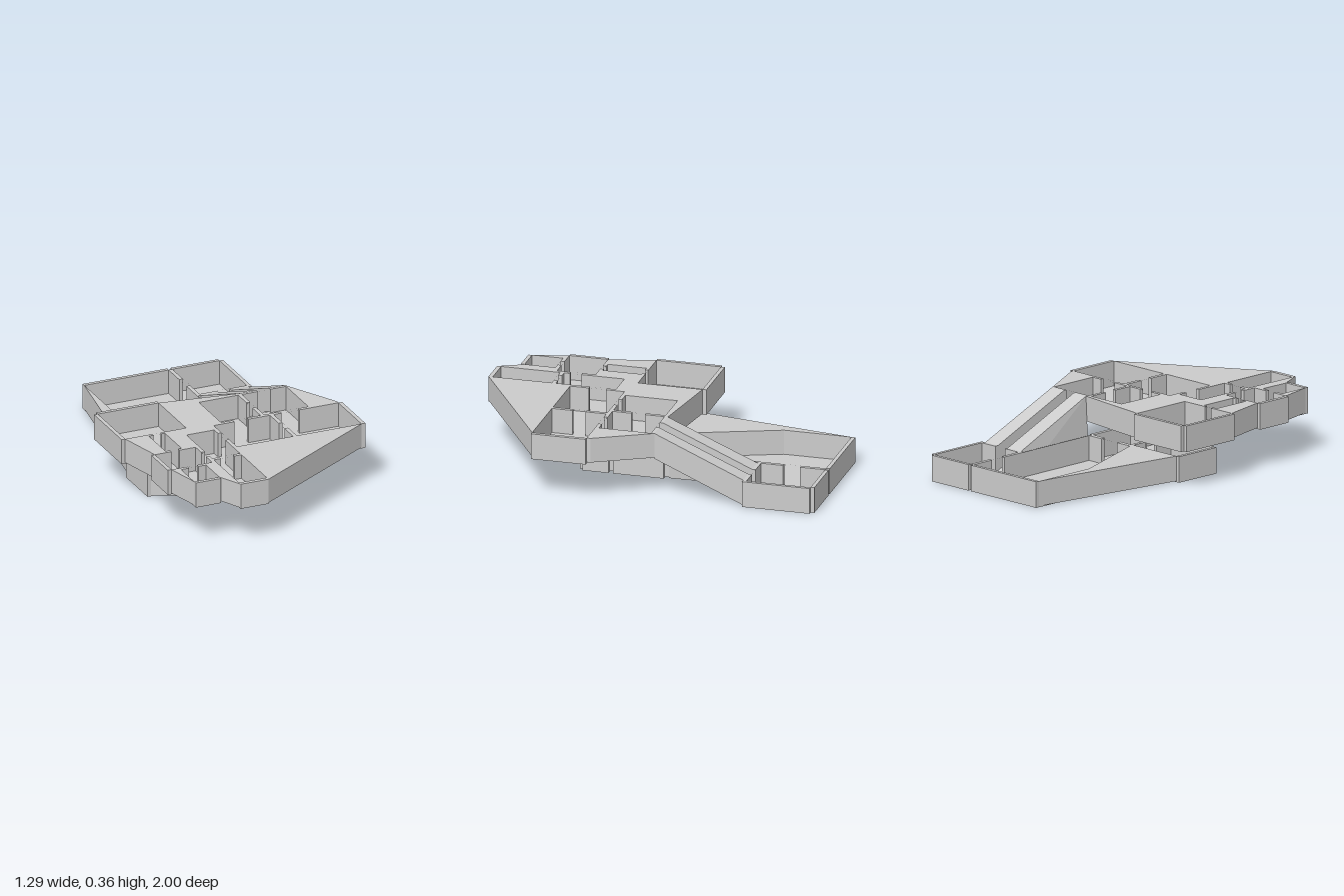
import * as THREE from 'three';

const H = 0.145; // height of one storey
const FLOOR = 0.006; // floor slab thickness
const LOW = 0;
const HIGH = 0.215;
const material = new THREE.MeshStandardMaterial({ color: 0xcccccc, flatShading: true, side: THREE.DoubleSide });

const rect = (x0, x1, z0, z1) => [[x0, z0], [x1, z0], [x1, z1], [x0, z1]];

function add(group, name, geometry) {
  const mesh = new THREE.Mesh(geometry, material);
  mesh.name = name;
  group.add(mesh);
  return mesh;
}

// Quads, each given as four corner points, gathered in one geometry
function quads(list) {
  const points = list.flatMap(([a, b, c, d]) => [a, b, c, a, c, d]).flat();
  const geometry = new THREE.BufferGeometry();
  geometry.setAttribute('position', new THREE.Float32BufferAttribute(points, 3));
  geometry.computeVertexNormals();
  return geometry;
}

// Plan outline [x, z] to shape points
const plan = (poly) => poly.map(([x, z]) => new THREE.Vector2(x, -z));

// Shrinks a hole by a hair so that neighbouring holes never touch
function shrink(poly) {
  const cx = poly.reduce((s, p) => s + p[0], 0) / poly.length;
  const cz = poly.reduce((s, p) => s + p[1], 0) / poly.length;
  return poly.map(([x, z]) => [cx + (x - cx) * 0.997, cz + (z - cz) * 0.997]);
}

// Upright walls along an outline, left open wherever another outline shares the edge
function wallQuads(poly, others, y0, y1) {
  const out = [];
  poly.forEach((a, i) => {
    const b = poly[(i + 1) % poly.length];
    const len = Math.hypot(b[0] - a[0], b[1] - a[1]);
    const d = [(b[0] - a[0]) / len, (b[1] - a[1]) / len];
    const along = (p) => (p[0] - a[0]) * d[0] + (p[1] - a[1]) * d[1];
    const off = (p) => Math.abs((p[0] - a[0]) * d[1] - (p[1] - a[1]) * d[0]);
    const gaps = [];
    for (const other of others) {
      other.forEach((c, j) => {
        const e = other[(j + 1) % other.length];
        if (off(c) < 0.002 && off(e) < 0.002) gaps.push([along(c), along(e)].sort((p, q) => p - q));
      });
    }
    gaps.sort((p, q) => p[0] - q[0]);
    gaps.push([len, len]);
    let t = 0;
    for (const [g0, g1] of gaps) {
      const end = Math.min(g0, len);
      if (end - t > 0.001) {
        const at = (s, y) => [a[0] + d[0] * s, y, a[1] + d[1] * s];
        out.push([at(t, y0), at(t, y1), at(end, y1), at(end, y0)]);
      }
      t = Math.max(t, g1);
    }
  });
  return out;
}

// One storey: a roof-height deck with sunken rooms, outer skirt and wall rims
function storey(name, y, hull, rooms, openings, rims) {
  const group = new THREE.Group();
  group.name = name;

  const deck = new THREE.Shape(plan(hull));
  rooms.forEach((r) => deck.holes.push(new THREE.Path(plan(shrink(r)))));
  add(group, 'deck', new THREE.ShapeGeometry(deck).rotateX(-Math.PI / 2).translate(0, y + H, 0));

  rooms.forEach((r) => {
    const slab = new THREE.ExtrudeGeometry(new THREE.Shape(plan(r)), { depth: FLOOR, bevelEnabled: false });
    add(group, 'roomFloor', slab.rotateX(-Math.PI / 2).translate(0, y, 0));
  });

  const inner = rooms.flatMap((r) => wallQuads(r, [...rooms.filter((o) => o !== r), ...openings], y, y + H));
  add(group, 'roomWalls', quads(inner));
  add(group, 'outerSkirt', quads(wallQuads(hull, [...rooms, ...openings], y + FLOOR, y + H)));

  rims.forEach(([x0, x1, z0, z1]) => {
    const rim = add(group, 'outerWall', new THREE.BoxGeometry(x1 - x0, H, z1 - z0));
    rim.position.set((x0 + x1) / 2, y + H / 2, (z0 + z1) / 2);
  });
  return group;
}

export function createModel() {
  const model = new THREE.Group();
  model.name = 'twoStoreyFloorPlan';
  const channel = rect(0.283, 0.357, -0.6, -0.1);

  // Upper storey
  model.add(storey('upperStorey', HIGH,
    [[-0.627, -0.164], [-0.267, -0.164], [0.188, -0.1], [0.45, -0.1], [0.618, 0.21], [0.618, 0.537],
      [-0.14, 1], [-0.304, 1], [-0.37, 0.865], [-0.518, 0.865], [-0.566, 0.67], [-0.566, 0.453], [-0.627, 0.199]],
    [
      rect(-0.627, -0.267, -0.164, 0.199), // corner room
      rect(-0.468, -0.42, 0.199, 0.216),
      rect(-0.495, -0.4, 0.216, 0.434), // passage
      rect(-0.468, -0.42, 0.434, 0.453),
      rect(-0.566, -0.325, 0.453, 0.67), // side room
      rect(-0.47, -0.415, 0.67, 0.691),
      rect(-0.518, -0.37, 0.691, 0.865), // small end room
      rect(-0.325, -0.304, 0.527, 0.59),
      rect(-0.304, -0.14, 0.285, 0.624), // middle room
      rect(-0.262, -0.182, 0.624, 0.645),
      rect(-0.304, -0.14, 0.645, 0.977), // front room
      rect(-0.14, -0.119, 0.336, 0.432),
      rect(-0.119, 0.214, 0.231, 0.537), // hall
      rect(0.214, 0.235, 0.347, 0.421),
      rect(0.235, 0.618, 0.231, 0.537), // large room
      rect(0.003, 0.087, 0.211, 0.231),
      rect(-0.066, 0.167, -0.082, 0.211), // back room
      rect(0.167, 0.188, 0.029, 0.103),
      rect(0.188, 0.45, -0.082, 0.211), // landing room
      rect(0.283, 0.389, 0.211, 0.231),
      rect(0.283, 0.357, -0.1, -0.082), // ramp door
    ],
    [channel],
    [[-0.648, -0.627, -0.164, 0.199], [-0.627, -0.267, -0.185, -0.164], [-0.587, -0.566, 0.453, 0.67],
      [-0.518, -0.37, 0.865, 0.886], [-0.304, -0.14, 0.977, 1], [0.618, 0.64, 0.231, 0.537]]));

  // Lower storey
  model.add(storey('lowerStorey', LOW,
    [[-0.34, -0.98], [0.46, -0.98], [0.46, -0.6], [0.16, -0.6], [0.166, -0.1], [0.162, 0.38],
      [-0.15, 0.38], [-0.48, 0.21], [-0.48, -0.075]],
    [
      rect(0.18, 0.46, -0.98, -0.62), // ramp foot room
      rect(0.283, 0.357, -0.62, -0.6),
      rect(0.159, 0.18, -0.84, -0.745),
      [[-0.34, -0.98], [0.159, -0.98], [0.159, -0.6], [0.165, -0.1], [-0.15, -0.1], [-0.34, -0.6]], // great room
      rect(-0.05, 0.07, -0.1, -0.075),
      rect(-0.13, 0.16, -0.075, 0.21), // inner room
      rect(-0.15, -0.13, 0.02, 0.1),
      rect(-0.48, -0.15, -0.075, 0.21), // side room
      rect(-0.04, 0.06, 0.21, 0.235),
      rect(-0.15, 0.16, 0.235, 0.38), // front room
    ],
    [channel],
    [[0.46, 0.48, -0.98, -0.6], [0.18, 0.46, -1, -0.98], [-0.34, 0.159, -1, -0.98], [-0.5, -0.48, -0.075, 0.21],
      [0.16, 0.182, -0.075, 0.21], [0.16, 0.182, 0.235, 0.38], [-0.15, 0.16, 0.38, 0.4]]));

  // Ramp: sloping strips on both sides of a sunken walkway
  const ramp = new THREE.Group();
  ramp.name = 'ramp';
  const low = (x, y) => [x, LOW + y, -0.6];
  const high = (x, y) => [x, HIGH + y, -0.1];
  const strip = (xl0, xl1, xh0, xh1, y) => [high(xh0, y), high(xh1, y), low(xl1, y), low(xl0, y)].reverse();
  const side = (xl, xh) => [low(xl, 0), low(xl, H), high(xh, H), high(xh, 0)];
  add(ramp, 'rampSideTops', quads([strip(0.18, 0.283, 0.188, 0.283, H), strip(0.357, 0.455, 0.357, 0.45, H)]));
  add(ramp, 'rampFloor', quads([strip(0.283, 0.357, 0.283, 0.357, FLOOR), strip(0.283, 0.357, 0.283, 0.357, 0)]));
  add(ramp, 'rampWalls', quads([side(0.283, 0.283), side(0.357, 0.357), side(0.455, 0.45)]));
  // Tall wall between the ramp and the great room
  add(ramp, 'rampTallWall', quads([[[0.16, 0, -0.6], low(0.18, H), high(0.188, H), [0.166, 0, -0.1]]]));
  model.add(ramp);

  return model;
}
